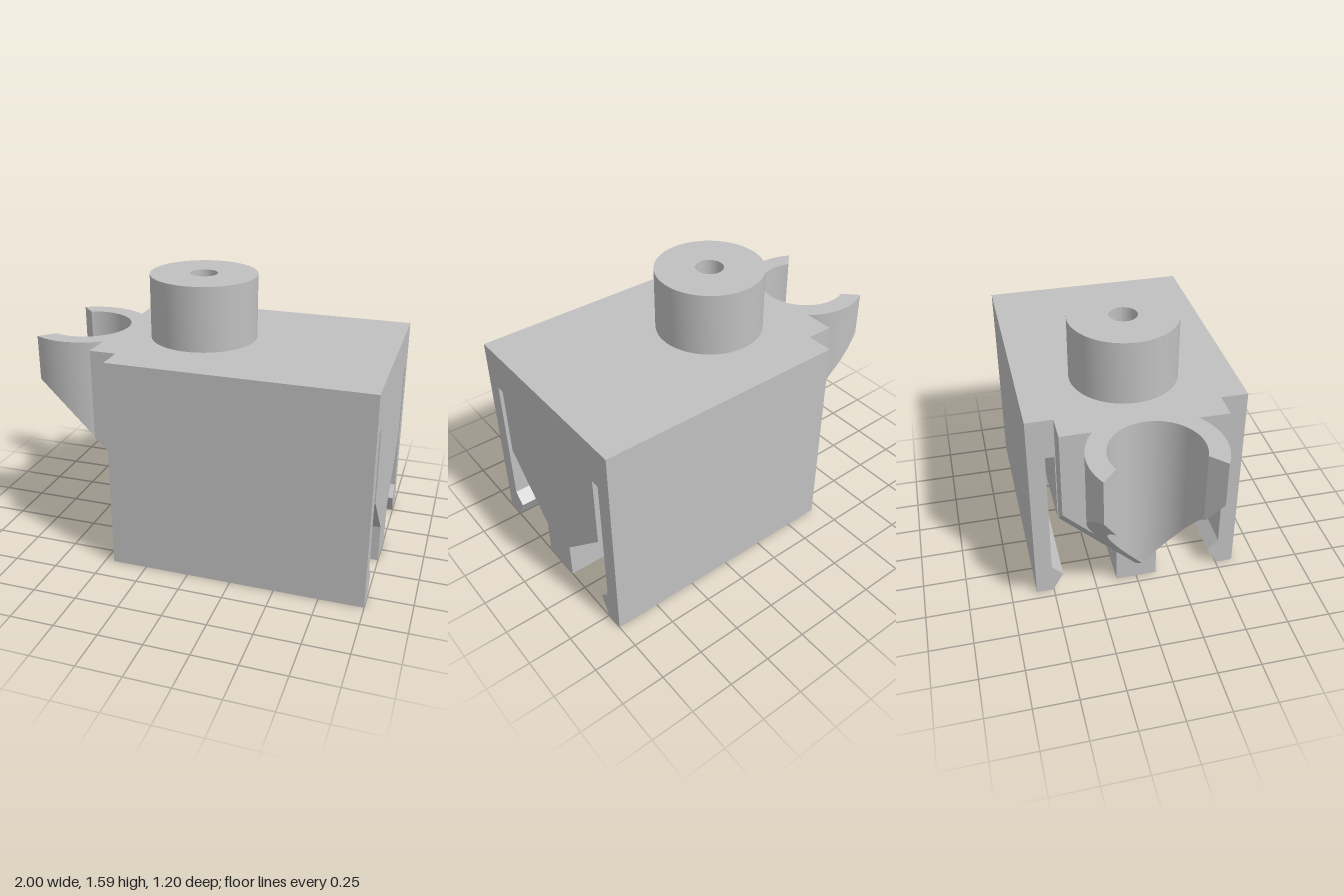
import * as THREE from 'three';
import { toCreasedNormals } from 'three/addons/utils/BufferGeometryUtils.js';

const TOP = 1.22, BODY_BACK = -0.45;

export function createModel() {
  const group = new THREE.Group();
  const grey = new THREE.MeshStandardMaterial({ color: 0xc0c0c0 });
  grey.name = 'plain grey';

  const add = (name, geometry) => {
    const mesh = new THREE.Mesh(toCreasedNormals(geometry, 0.5), grey);
    mesh.name = name;
    group.add(mesh);
  };

  // Body: one cross-section with tapered rib and two hooked side walls
  const half = [
    [0.12, 0], [0.12, 0.22], [0.455, 0.55], [0.455, 0.98], [0.505, 0.98],
    [0.505, 0.18], [0.44, 0.115], [0.505, 0], [0.602, 0], [0.602, TOP],
  ];
  const section = [...half, ...half.map(([z, y]) => [-z, y]).reverse()];
  const body = new THREE.ExtrudeGeometry(
    new THREE.Shape(section.map(p => new THREE.Vector2(...p))),
    { depth: 1 - BODY_BACK, bevelEnabled: false });
  body.rotateY(Math.PI / 2).translate(BODY_BACK, 0, 0);
  add('clipBody', body);

  // Boss: tube standing on the body
  const boss = new THREE.LatheGeometry(
    [[0.303, TOP], [0.303, 1.585], [0.078, 1.585], [0.078, TOP]]
      .map(p => new THREE.Vector2(...p)), 64);
  boss.translate(-0.095, 0, 0);
  add('boss', boss);

  // Cable holder: mirrored plan outline whose underside follows 45 degree slopes
  const cx = -0.822, inner = 0.249, outer = 0.356;
  const arc = (r, from, to, n = 32) => Array.from({ length: n + 1 }, (_, i) => {
    const a = from + (to - from) * i / n;
    return [cx + r * Math.cos(a), r * Math.sin(a)];
  });
  const outline = [
    [BODY_BACK, 0], [BODY_BACK, 0.45], [-0.602, 0.45],
    ...arc(outer, Math.acos((-0.602 - cx) / outer), Math.acos((-1 - cx) / outer)),
    ...arc(inner, Math.acos((-0.92 - cx) / inner), 0),
  ];
  for (const side of [1, -1]) {
    const geo = new THREE.ExtrudeGeometry(
      new THREE.Shape(outline.map(([x, z]) => new THREE.Vector2(x, z * side))),
      { depth: TOP, bevelEnabled: false });
    geo.rotateX(-Math.PI / 2);
    const pos = geo.attributes.position;
    for (let i = 0; i < pos.count; i++) {
      if (pos.getY(i) < 0.01) pos.setY(i, -0.35 + Math.abs(pos.getZ(i)) - pos.getX(i));
    }
    geo.computeVertexNormals();
    add(side > 0 ? 'cableHolderRight' : 'cableHolderLeft', geo);
  }
  return group;
}
